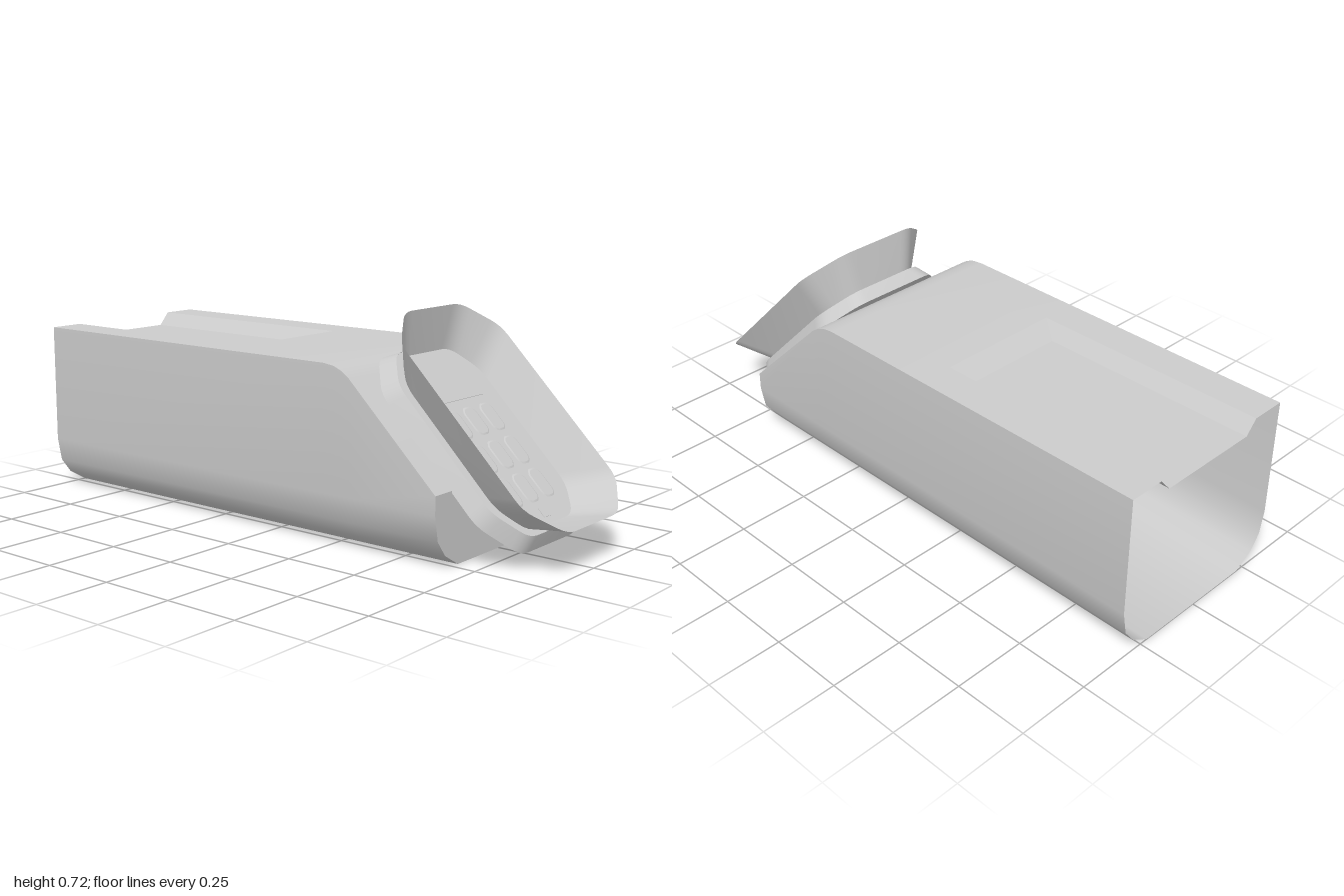
import * as THREE from 'three';
import { toCreasedNormals } from 'three/addons/utils/BufferGeometryUtils.js';

const grey = new THREE.MeshStandardMaterial({ color: 0xcccccc, side: THREE.DoubleSide });

function add(parent, name, geometry, x = 0, y = 0, z = 0) {
  const mesh = new THREE.Mesh(geometry, grey);
  mesh.name = name;
  mesh.position.set(x, y, z);
  parent.add(mesh);
  return mesh;
}

// Collects four-cornered faces (counter-clockwise from outside)
function quadGeometry(quads) {
  const p = [];
  for (const [a, b, c, d] of quads) p.push(...a, ...b, ...c, ...a, ...c, ...d);
  const g = new THREE.BufferGeometry();
  g.setAttribute('position', new THREE.Float32BufferAttribute(p, 3));
  return toCreasedNormals(g, 0.6);
}

// Rectangle with long chamfers (cx, cy) whose corners are softened
function ring(hw, hh, cx, cy, soft = 0.04, steps = 4) {
  const corners = [
    [hw, -hh + cy], [hw, hh - cy], [hw - cx, hh], [-hw + cx, hh],
    [-hw, hh - cy], [-hw, -hh + cy], [-hw + cx, -hh], [hw - cx, -hh],
  ].map(([x, y]) => new THREE.Vector2(x, y));
  const pts = [];
  corners.forEach((c, i) => {
    const toward = (o) => c.clone().add(o.clone().sub(c).setLength(soft));
    const a = toward(corners[(i + 7) % 8]), b = toward(corners[(i + 1) % 8]);
    pts.push(...new THREE.QuadraticBezierCurve(a, c, b).getPoints(steps));
  });
  return pts;
}

// Wall between two matching rings at heights z0 and z1
function loft(r0, z0, r1, z1) {
  return quadGeometry(r0.map((p, i) => {
    const j = (i + 1) % r0.length;
    return [[p.x, p.y, z0], [r0[j].x, r0[j].y, z0], [r1[j].x, r1[j].y, z1], [r1[i].x, r1[i].y, z1]];
  }));
}

const face = (r) => new THREE.ShapeGeometry(new THREE.Shape(r));

function buildBody(group) {
  const W = 0.34, top = 0.575, back = -1;
  // Stations along the body: [z, height of the upper edge]
  const stations = [[back, top], [0.25, top], [0.29, 0.57], [0.32, 0.558], [0.35, 0.537], [0.67, 0.23]];
  const half = [[W, 0.17], [0.325, 0.09], [0.287, 0.04], [0.22, 0]];
  const section = ([z, h]) => {
    const right = [[W, h], ...half];
    const left = right.map(([x, y]) => [-x, y]).reverse();
    return [...right, ...left].map(([x, y]) => [x, y, z]);
  };

  // Sides and underside, open at the back
  const shell = [], slope = [];
  for (let s = 0; s < stations.length - 1; s++) {
    const a = section(stations[s]), b = section(stations[s + 1]), n = a.length - 1;
    for (let i = 0; i < n; i++) shell.push([a[i], b[i], b[i + 1], a[i + 1]]);
    if (s > 0) slope.push([a[n], b[n], b[0], a[0]]);
  }
  add(group, 'bodyShell', quadGeometry(shell));

  // Flat roof around the channel, running into the front slope
  const zc = -0.17, zf = -0.235, xo = 0.22, xi = 0.18, floor = 0.53, zr = 0.25;
  const flat = (x0, x1, z0, z1) => [[x0, top, z0], [x0, top, z1], [x1, top, z1], [x1, top, z0]];
  add(group, 'roof', quadGeometry([
    flat(-W, -xo, back, zc), flat(xo, W, back, zc), flat(-W, W, zc, zr), ...slope,
  ]));

  // Sunken channel with sloping walls
  add(group, 'roofChannel', quadGeometry([
    [[-xi, floor, back], [-xi, floor, zf], [xi, floor, zf], [xi, floor, back]],
    [[-xo, top, back], [-xo, top, zc], [-xi, floor, zf], [-xi, floor, back]],
    [[xi, floor, back], [xi, floor, zf], [xo, top, zc], [xo, top, back]],
    [[-xi, floor, zf], [-xo, top, zc], [xo, top, zc], [xi, floor, zf]],
  ]));

  // Lower front wall
  const front = section(stations.at(-1)).map(([x, y]) => new THREE.Vector2(x, y));
  add(group, 'frontWall', face(front), 0, 0, 0.67);
}

function buildPanel(group) {
  const panel = new THREE.Group();
  panel.name = 'tiltedPanel';
  panel.position.set(0, 0.31, 0.584);
  panel.rotation.x = -Math.PI / 4;
  group.add(panel);

  // Backing plate with bevelled edge
  const plateBack = ring(0.258, 0.373, 0.1, 0.127), plateFront = ring(0.23, 0.35, 0.09, 0.115);
  add(panel, 'plateEdge', loft(plateBack, 0, plateFront, 0.05));
  add(panel, 'plateBack', face(plateBack));
  add(panel, 'plateFront', face(plateFront), 0, 0, 0.048);

  // Flared hood around the keypad
  const inner = ring(0.198, 0.33, 0.075, 0.1), rim = ring(0.268, 0.415, 0.12, 0.11);
  add(panel, 'hood', loft(inner, 0.05, rim, 0.169));
  add(panel, 'keypadFloor', face(inner), 0, 0, 0.052);

  // Display, keys and sensor, almost flush with the floor
  const depth = 0.004, z = 0.0515;
  add(panel, 'display', new THREE.BoxGeometry(0.244, 0.148, depth), -0.002, 0.214, z);
  add(panel, 'sensor', new THREE.BoxGeometry(0.034, 0.033, depth), 0, -0.292, z);
  const keyBase = ring(0.033, 0.053, 0.016, 0.018, 0.004, 1);
  const keyTop = ring(0.028, 0.047, 0.012, 0.014, 0.004, 1);
  for (const y of [0.057, -0.073, -0.2]) {
    for (const x of [-0.092, -0.004, 0.086]) {
      add(panel, 'keyEdge', loft(keyBase, 0, keyTop, 0.002), x, y, 0.052);
      add(panel, 'keyTop', face(keyTop), x, y, 0.054);
    }
  }
}

export function createModel() {
  const group = new THREE.Group();
  group.name = 'keypadTerminal';
  buildBody(group);
  buildPanel(group);
  return group;
}
